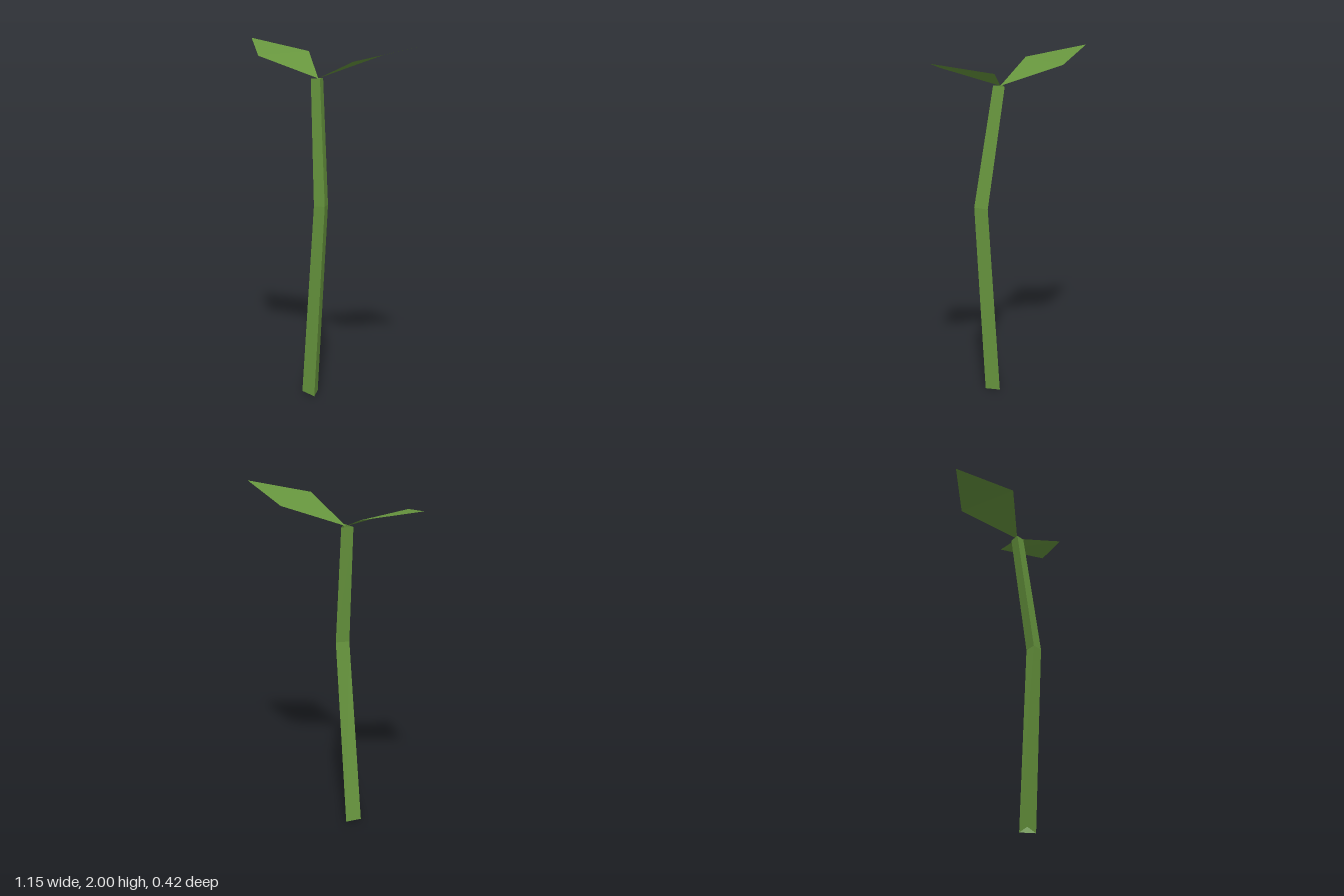
import * as THREE from 'three';

// Flat-shaded mesh from corner points and triangles
function facetMesh(name, points, triangles, material) {
  const geometry = new THREE.BufferGeometry();
  const positions = triangles.flat().flatMap((i) => points[i]);
  geometry.setAttribute('position', new THREE.Float32BufferAttribute(positions, 3));
  geometry.computeVertexNormals();
  const mesh = new THREE.Mesh(geometry, material);
  mesh.name = name;
  return mesh;
}

export function createModel() {
  const group = new THREE.Group();
  group.name = 'sprout';
  const green = new THREE.MeshStandardMaterial({ color: 0x69983f, side: THREE.DoubleSide });
  green.name = 'leaf green';

  // Stem: open three-sided tube; each ring is front-left, front-right, back
  const rings = [
    [[-0.053, 0.01, 0.135], [0.04, 0, 0.135], [-0.005, 0.005, 0.057]],
    [[0.037, 1.105, 0.132], [0.118, 1.113, 0.132], [0.077, 1.109, 0.06]],
    [[-0.04, 1.8, 0.072], [0.028, 1.806, 0.072], [-0.005, 1.803, 0.01]],
  ];
  const triangles = [];
  for (let r = 0; r < rings.length - 1; r++) {
    for (let i = 0; i < 3; i++) {
      const a = r * 3 + i;
      const b = r * 3 + ((i + 1) % 3);
      triangles.push([a, b, b + 3], [a, b + 3, a + 3]);
    }
  }
  group.add(facetMesh('stem', rings.flat(), triangles, green));

  // Leaves: base, back corner, tip, front corner, folded across the middle
  const rightLeaf = [[-0.005, 1.803, 0.05], [-0.275, 1.92, -0.165], [-0.578, 1.988, -0.007], [-0.311, 1.918, 0.207]];
  const leftLeaf = [[-0.005, 1.803, 0.05], [0.235, 1.926, -0.212], [0.576, 2, -0.112], [0.336, 1.925, 0.148]];
  group.add(facetMesh('rightLeaf', rightLeaf, [[0, 1, 3], [1, 2, 3]], green));
  group.add(facetMesh('leftLeaf', leftLeaf, [[0, 3, 1], [1, 3, 2]], green));
  return group;
}
